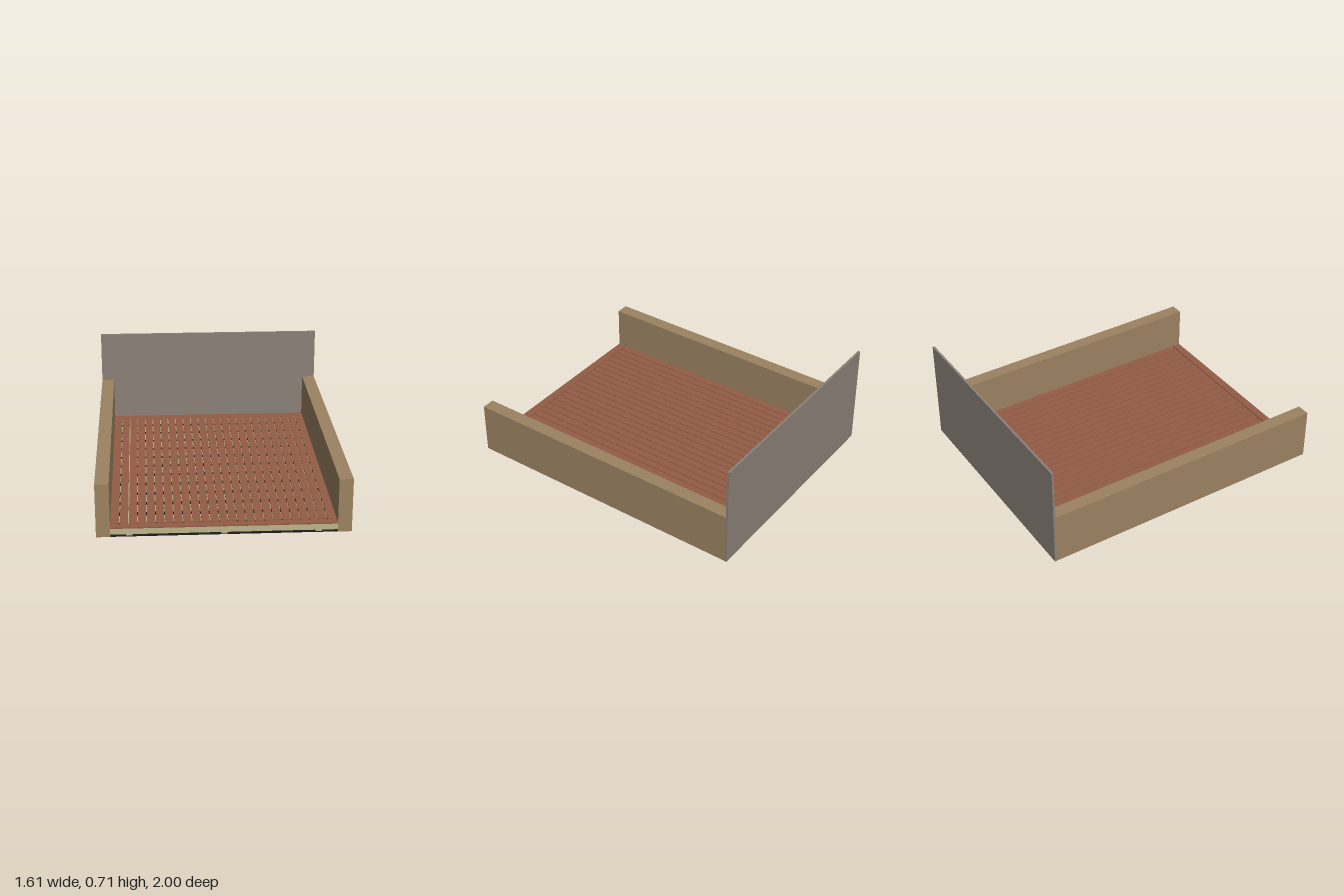
import * as THREE from 'three';

const wallMat = new THREE.MeshStandardMaterial({ color: 0x9c8362 });
const screenMat = new THREE.MeshStandardMaterial({ color: 0x8b8178 });
const boardMat = new THREE.MeshStandardMaterial({ color: 0x935c45 });
const timberMat = new THREE.MeshStandardMaterial({ color: 0xbfb48a });
const groundMat = new THREE.MeshStandardMaterial({ color: 0x1a1a1a });

// Adds a box given by its minimum and maximum on each axis
function box(parent, name, material, [x0, x1], [y0, y1], [z0, z1]) {
  const mesh = new THREE.Mesh(new THREE.BoxGeometry(x1 - x0, y1 - y0, z1 - z0), material);
  mesh.position.set((x0 + x1) / 2, (y0 + y1) / 2, (z0 + z1) / 2);
  mesh.name = name;
  parent.add(mesh);
  return mesh;
}

function subgroup(parent, name) {
  const group = new THREE.Group();
  group.name = name;
  parent.add(group);
  return group;
}

export function createModel() {
  const model = new THREE.Group();
  model.name = 'deck';
  const inner = 0.714, outer = 0.803, back = -0.985;

  // Side walls and the tall rear screen
  box(model, 'leftWall', wallMat, [inner, outer], [0, 0.357], [back, 1]);
  box(model, 'rightWall', wallMat, [-outer, -inner], [0, 0.357], [back, 1]);
  box(model, 'rearScreen', screenMat, [-outer, outer], [0, 0.714], [-1, back]);

  // Dark ground sheet below the frame
  box(model, 'groundSheet', groundMat, [-inner, inner], [0, 0.004], [back, 0.998]);

  // Bearers from front to back
  const frame = subgroup(model, 'frame');
  for (const x of [-0.594, 0, 0.594]) {
    box(frame, 'bearer', timberMat, [x - 0.02, x + 0.02], [0.004, 0.014], [back, 0.996]);
  }

  // Joists across the bearers, closed by a rim
  const joistY = [0.014, 0.055], rimX = 0.695;
  for (let i = 0; i < 12; i++) {
    const z = -0.925 + i * 0.1585;
    box(frame, 'joist', timberMat, [-rimX, rimX], joistY, [z - 0.009, z + 0.009]);
  }
  box(frame, 'frontRim', timberMat, [-rimX, rimX], joistY, [0.976, 0.995]);
  box(frame, 'rearRim', timberMat, [-rimX, rimX], joistY, [back, back + 0.019]);
  for (const s of [-1, 1]) {
    const xs = [s * rimX, s * inner].sort((a, b) => a - b);
    box(frame, 'sideRim', timberMat, xs, joistY, [back, 0.995]);
  }

  // Decking: narrow boards with gaps, and a border board at each end
  const decking = subgroup(model, 'decking');
  const deckY = [0.055, 0.063], count = 25, pitch = (2 * inner) / count, gap = 0.006;
  for (let i = 0; i < count; i++) {
    const x = -inner + i * pitch;
    const x0 = i === 0 ? x : x + gap / 2;
    const x1 = i === count - 1 ? x + pitch : x + pitch - gap / 2;
    box(decking, 'deckBoard', boardMat, [x0, x1], deckY, [-0.928, 0.938]);
  }
  box(decking, 'rearBorderBoard', boardMat, [-inner, inner], deckY, [back, -0.928]);
  box(decking, 'frontBorderBoard', boardMat, [-inner, inner], deckY, [0.944, 1]);

  return model;
}
